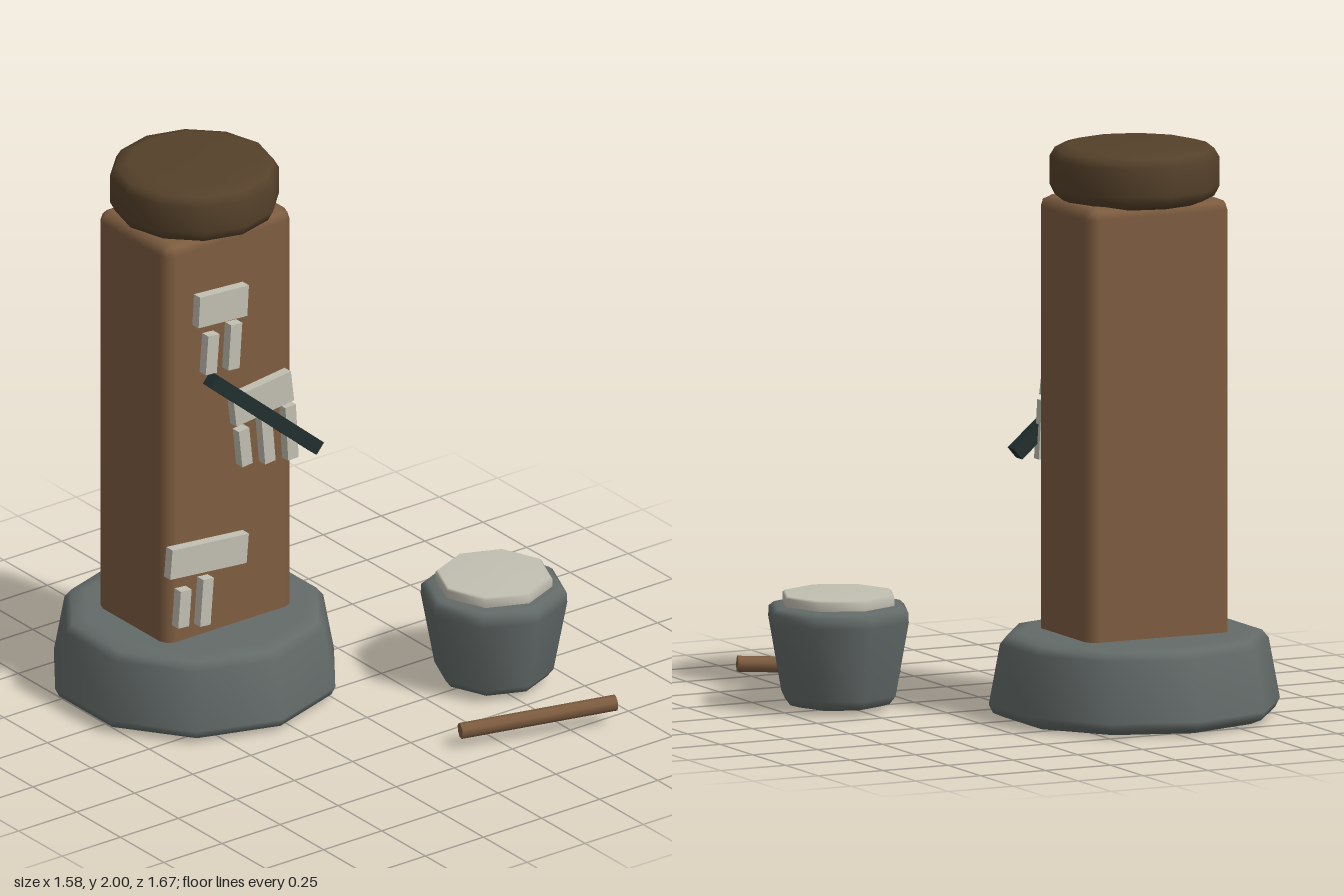
import * as THREE from 'three';
import { RoundedBoxGeometry } from 'three/addons/geometries/RoundedBoxGeometry.js';

export function createModel() {
  const model = new THREE.Group();
  model.name = 'carvedPillar';

  const material = (name, color) => {
    const m = new THREE.MeshStandardMaterial({ color });
    m.name = name;
    return m;
  };
  const stone = material('grey stone', 0x636b69);
  const wood = material('brown wood', 0x7e5d40);
  const darkWood = material('dark wood', 0x55412a);
  const ivory = material('pale ivory', 0xc2bfb2);
  const iron = material('dark iron', 0x22302f);

  const add = (name, geometry, mat, x, y, z, roll = 0) => {
    const mesh = new THREE.Mesh(geometry, mat);
    mesh.name = name;
    mesh.position.set(x, y, z);
    mesh.rotation.z = roll;
    model.add(mesh);
    return mesh;
  };
  // Faceted round solid from [radius, height] pairs, bottom to top
  const turned = (profile, sides) =>
    new THREE.LatheGeometry(profile.map(([r, y]) => new THREE.Vector2(r, y)), sides);

  // Pillar: plinth, shaft and cap
  add('plinth', turned([[0, 0], [0.43, 0], [0.45, 0.003], [0.492, 0.02], [0.507, 0.05],
    [0.468, 0.26], [0.445, 0.288], [0.39, 0.298], [0, 0.3]], 10), stone, -0.303, 0, -0.335);
  add('shaft', new RoundedBoxGeometry(0.55, 1.56, 0.405, 1, 0.04), wood, -0.305, 1.03, -0.33);
  add('cap', turned([[0, 1.79], [0.23, 1.797], [0.275, 1.815], [0.293, 1.85], [0.293, 1.95],
    [0.275, 1.98], [0.23, 1.993], [0, 2]], 12), darkWood, -0.305, 0, -0.333);

  // Pale plates on the front: x, y, width, height, roll
  const plates = [
    [-0.365, 1.545, 0.21, 0.115, -0.06], [-0.413, 1.376, 0.048, 0.145, -0.08],
    [-0.315, 1.378, 0.048, 0.17, -0.07],
    [-0.193, 1.143, 0.25, 0.115, 0.12], [-0.27, 0.98, 0.045, 0.14, 0.11],
    [-0.172, 0.98, 0.045, 0.175, 0.09], [-0.071, 0.98, 0.045, 0.205, 0.06],
    [-0.426, 0.608, 0.33, 0.11, -0.09], [-0.532, 0.439, 0.047, 0.138, -0.08],
    [-0.437, 0.437, 0.045, 0.175, -0.08],
  ];
  for (const [x, y, w, h, roll] of plates) {
    add('plate', new THREE.BoxGeometry(w, h, 0.036), ivory, x, y, -0.103, roll);
  }

  // Slanted bar across the middle plates
  add('slantedBar', new THREE.BoxGeometry(0.595, 0.05, 0.048), iron, -0.198, 1.093, -0.08, -0.704);

  // Drum with its pale skin
  add('drumBody', turned([[0, 0.01], [0.15, 0.012], [0.185, 0.022], [0.207, 0.05],
    [0.255, 0.31], [0.253, 0.345], [0.235, 0.36], [0.2, 0.366], [0, 0.366]], 8), stone, 0.535, 0, 0.265);
  add('drumSkin', turned([[0, 0.36], [0.2, 0.36], [0.203, 0.365], [0.203, 0.395],
    [0.195, 0.402], [0, 0.404]], 8), ivory, 0.535, 0, 0.265);

  // Drumstick lying on the ground
  const from = new THREE.Vector3(0.117, 0.06, 0.628);
  const to = new THREE.Vector3(0.652, 0.083, 0.807);
  const along = to.clone().sub(from);
  const mid = from.clone().add(to).multiplyScalar(0.5);
  const stick = add('drumstick', new THREE.CylinderGeometry(0.028, 0.028, along.length(), 8),
    wood, mid.x, mid.y, mid.z);
  stick.quaternion.setFromUnitVectors(new THREE.Vector3(0, 1, 0), along.normalize());

  return model;
}
